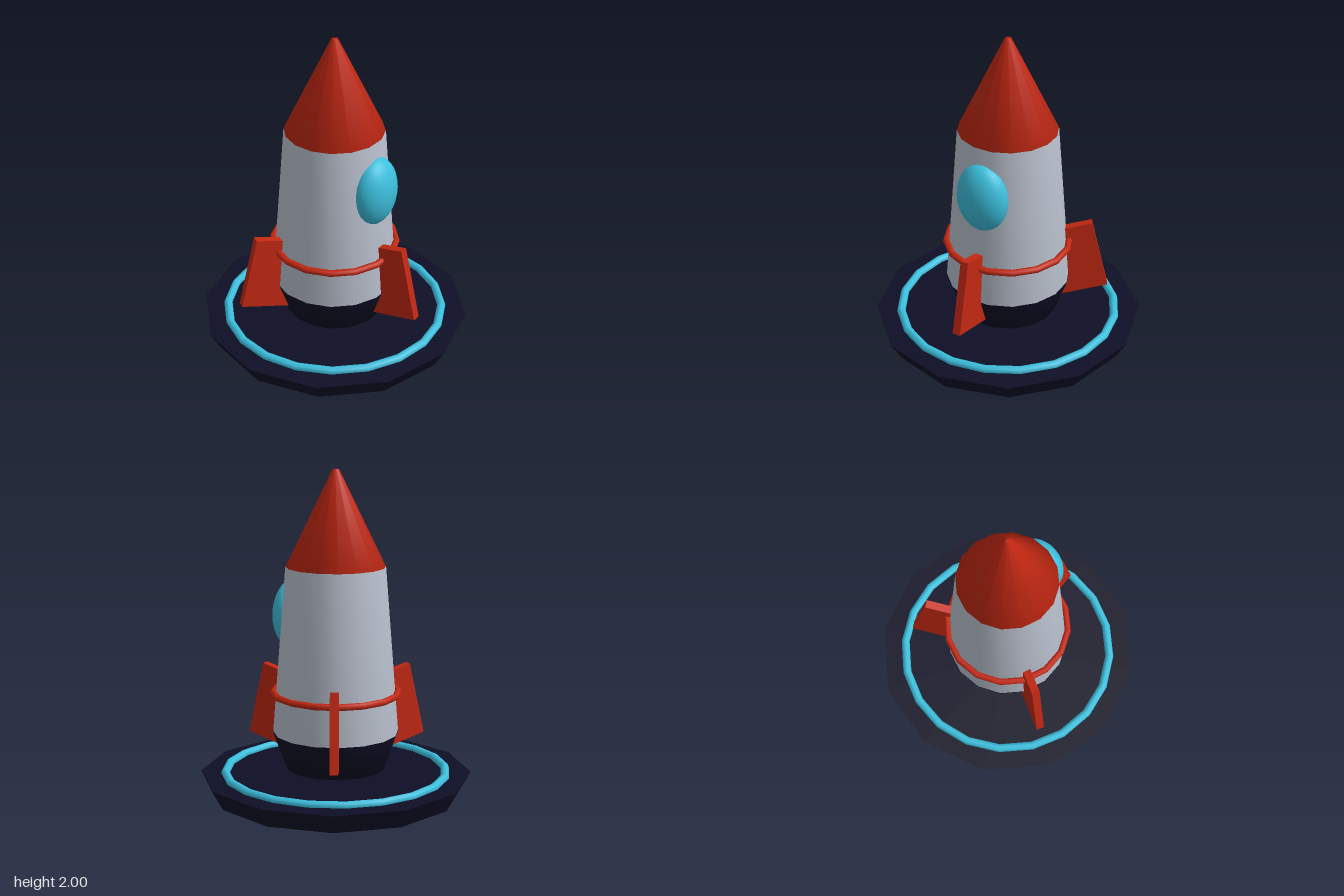
import * as THREE from 'three';

const mat = (name, color) => {
  const m = new THREE.MeshStandardMaterial({ color });
  m.name = name;
  return m;
};

export function createModel() {
  const red = mat('red', 0xc42813);
  const white = mat('paleGrey', 0xbcc3d0);
  const cyan = mat('cyan', 0x3cc0de);
  const navy = mat('navy', 0x0e0e26);

  const model = new THREE.Group();
  model.name = 'rocketOnPad';

  const add = (name, geometry, material, x = 0, y = 0, z = 0, parent = model) => {
    const mesh = new THREE.Mesh(geometry, material);
    mesh.name = name;
    mesh.position.set(x, y, z);
    parent.add(mesh);
    return mesh;
  };

  // Sixteen-sided turned parts, with a flat side facing the front
  const turned = (profile) => new THREE.LatheGeometry(
    profile.map(([r, y]) => new THREE.Vector2(r, y)), 16, Math.PI / 16);

  const hoop = (radius, tube, sides, turn = 0) =>
    new THREE.TorusGeometry(radius, tube, 8, sides).rotateZ(turn).rotateX(Math.PI / 2);

  // Launch pad and its glowing ring
  add('launchPad', new THREE.CylinderGeometry(0.84, 0.77, 0.125, 12), navy, 0, 0.0625, 0);
  add('padRing', hoop(0.685, 0.027, 20), cyan, 0, 0.133, 0);

  // Hull, engine skirt and nose cone
  add('hull', turned([[0.28, 0.18], [0.387, 0.385], [0.305, 1.415]]), white);
  add('engineSkirt', turned([[0, 0.165], [0.31, 0.165], [0.389, 0.388], [0.37, 0.388]]), navy);
  add('noseCone', turned([[0, 1.41], [0.305, 1.41], [0.02, 2], [0, 2]]), red);

  // Band around the hull
  add('hullBand', hoop(0.385, 0.021, 16, Math.PI / 16), red, 0, 0.635, 0);

  // Bulging oval porthole
  add('porthole', new THREE.SphereGeometry(1, 24, 16).scale(0.167, 0.22, 0.12), cyan, 0, 1.095, 0.3);

  // Three tilted slab fins
  for (let i = 0; i < 3; i++) {
    const fin = new THREE.Group();
    fin.name = 'fin' + (i + 1);
    fin.rotation.y = (i * Math.PI * 2) / 3;
    const slab = add('finSlab', new THREE.BoxGeometry(0.05, 0.473, 0.32), red, 0, 0.4925, 0.42, fin);
    slab.rotation.x = -0.235;
    model.add(fin);
  }

  return model;
}
